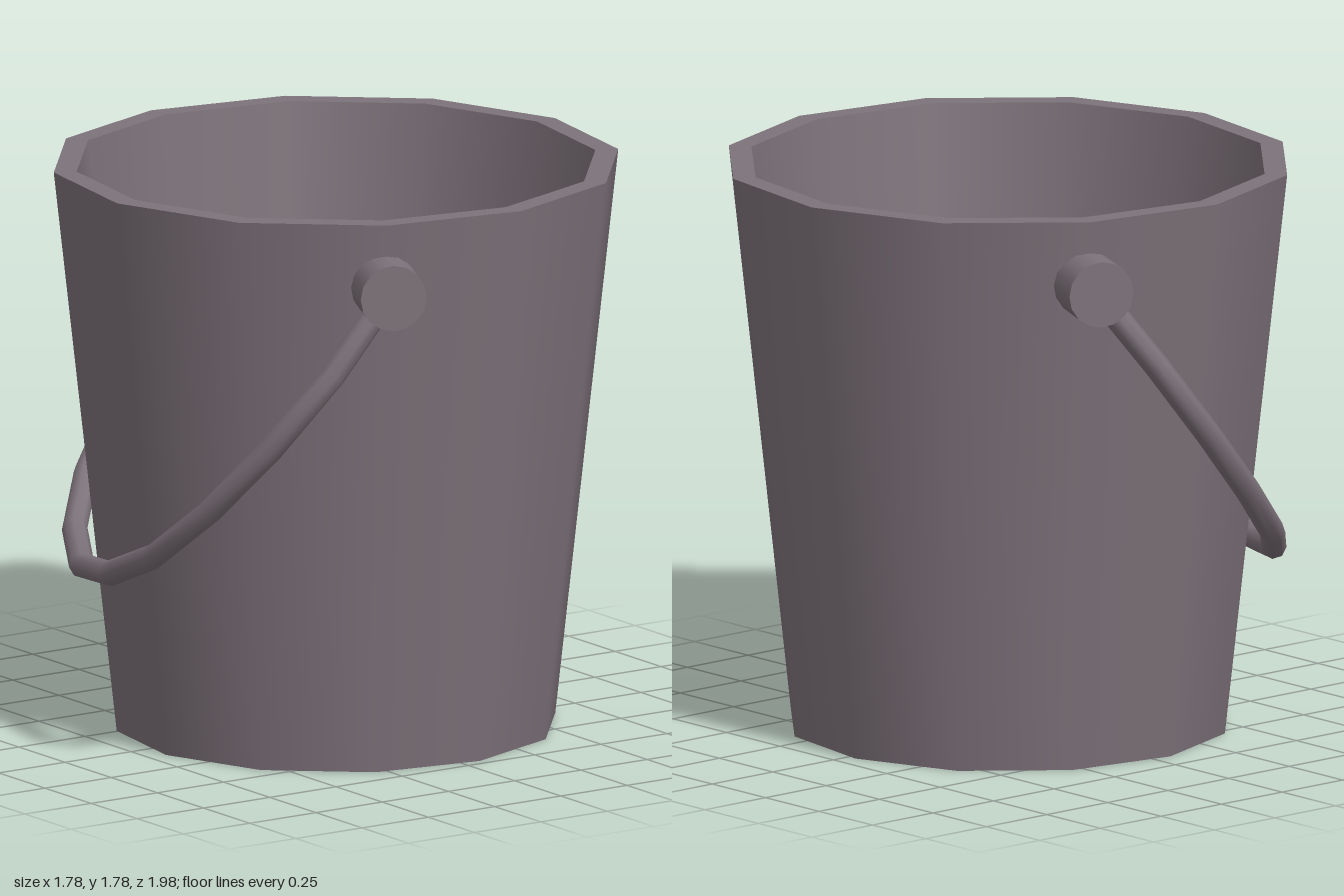
import * as THREE from 'three';

const SIDES = 12;
const metal = new THREE.MeshStandardMaterial({ color: 0x7d727a });
const waterMaterial = new THREE.MeshStandardMaterial({ color: 0x529499 });

function add(parent, name, geometry, material = metal) {
  const mesh = new THREE.Mesh(geometry, material);
  mesh.name = name;
  parent.add(mesh);
  return mesh;
}

export function createModel() {
  const model = new THREE.Group();
  model.name = 'bucket';

  // Bucket frame: local z runs through the two pegs, handle hangs toward local -x
  const bucket = new THREE.Group();
  bucket.name = 'bucketBody';
  bucket.position.z = 0.033;
  bucket.rotation.y = -0.43;
  model.add(bucket);

  // Wall cross-section, one lathe per face so the rims stay sharp
  const profile = [[0, 0], [0.69, 0], [0.888, 1.785], [0.816, 1.785], [0.627, 0.08], [0, 0.08]]
    .map(([r, y]) => new THREE.Vector2(r, y));
  ['base', 'outerWall', 'rim', 'innerWall', 'floor'].forEach((name, i) => {
    add(bucket, name, new THREE.LatheGeometry([profile[i], profile[i + 1]], SIDES));
  });

  // Water surface
  const water = add(bucket, 'water', new THREE.CircleGeometry(0.66, SIDES), waterMaterial);
  water.rotation.x = -Math.PI / 2;
  water.position.y = 0.38;

  // Pegs on both sides
  const pegY = 1.58;
  for (const side of [1, -1]) {
    const peg = add(bucket, side > 0 ? 'frontPeg' : 'backPeg',
      new THREE.CylinderGeometry(0.104, 0.104, 0.2, 16));
    peg.rotation.x = Math.PI / 2;
    peg.position.set(0, pegY, side * 0.905);
  }

  // Handle: half outline as [along the peg axis, horizontal swing], mirrored
  const half = [[0.93, 0], [0.978, 0.2], [0.908, 0.387], [0.775, 0.548], [0.56, 0.69], [0.29, 0.77]];
  const outline = [...half, [0, 0.8], ...half.map(([d, p]) => [-d, p]).reverse()];
  const path = new THREE.CatmullRomCurve3(
    outline.map(([d, p]) => new THREE.Vector3(-p, pegY - 1.31 * p, d)));
  add(bucket, 'handle', new THREE.TubeGeometry(path, 12, 0.04, 8));

  return model;
}
